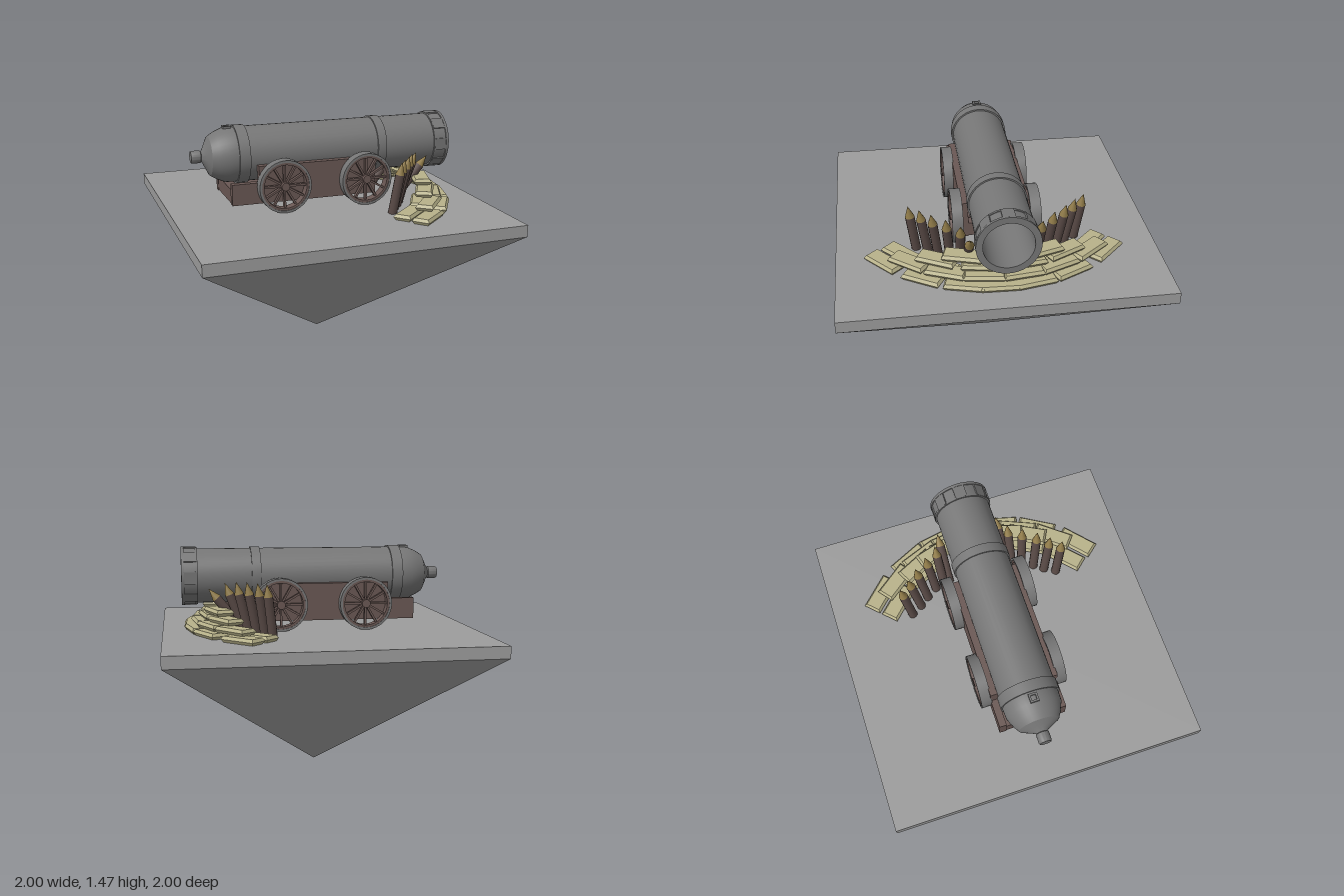
import * as THREE from 'three';
import { toCreasedNormals } from 'three/addons/utils/BufferGeometryUtils.js';

const mat = (color, flatShading = false) => new THREE.MeshStandardMaterial({ color, flatShading });
const stone = mat(0x9c9c9c, true);
const iron = mat(0x767676);
const wood = mat(0x6a5854);
const stakeWood = mat(0x594a46);
const tipGold = mat(0x8f7a48);
const sack = mat(0xb8b28a, true);

const GROUND = 0.935;
const AXIS = 1.275;

function add(parent, name, geometry, material, x = 0, y = 0, z = 0) {
  const mesh = new THREE.Mesh(geometry, material);
  mesh.name = name;
  mesh.position.set(x, y, z);
  parent.add(mesh);
  return mesh;
}

// Flat slab standing on an inverted pyramid
function makeBase() {
  const g = new THREE.Group();
  g.name = 'base';
  add(g, 'slab', new THREE.BoxGeometry(2, 0.075, 2), stone, 0, GROUND - 0.0375, 0);
  const pyramid = new THREE.ConeGeometry(Math.SQRT2, 0.86, 4, 1, true);
  pyramid.rotateY(Math.PI / 4).rotateX(Math.PI);
  add(g, 'pyramid', pyramid, stone, 0, 0.43, 0);
  return g;
}

// Lathed barrel with knob, rings and hollow bore, pointing along +x
function makeBarrel() {
  const g = new THREE.Group();
  g.name = 'barrel';
  const profile = [
    [0, -0.84], [0.036, -0.84], [0.04, -0.83], [0.04, -0.78], [0.032, -0.775], [0.045, -0.765],
    [0.085, -0.745], [0.125, -0.725], [0.15, -0.685], [0.173, -0.63], [0.176, -0.565],
    [0.186, -0.565], [0.186, -0.495], [0.176, -0.495], [0.176, 0.365], [0.185, 0.365],
    [0.185, 0.425], [0.176, 0.425], [0.176, 0.77], [0.186, 0.77], [0.186, 0.785], [0.182, 0.785],
    [0.182, 0.855], [0.19, 0.855], [0.19, 0.873], [0.15, 0.873], [0.146, 0.2], [0, 0.2]
  ].map(([r, x]) => new THREE.Vector2(r, x));
  const tube = toCreasedNormals(new THREE.LatheGeometry(profile, 40), 0.5);
  tube.rotateZ(-Math.PI / 2);
  add(g, 'barrelTube', tube, iron, 0, AXIS, 0);

  // Raised lugs around the muzzle
  for (let i = 0; i < 8; i++) {
    const a = (i * Math.PI) / 4;
    const lug = add(g, 'muzzleLug', new THREE.BoxGeometry(0.085, 0.016, 0.075), iron,
      0.818, AXIS + Math.cos(a) * 0.178, Math.sin(a) * 0.178);
    lug.rotation.x = a;
  }

  // Square touch hole
  for (const s of [-1, 1]) {
    add(g, 'touchHoleSide', new THREE.BoxGeometry(0.054, 0.03, 0.012), iron, -0.605, 1.446, s * 0.021);
    add(g, 'touchHoleEnd', new THREE.BoxGeometry(0.012, 0.03, 0.054), iron, -0.605 + s * 0.021, 1.446, 0);
  }
  return g;
}

// Spoked wheel, axle along z
function makeWheel(x, side) {
  const g = new THREE.Group();
  g.name = 'wheel';
  const ring = (outer, inner, width) => {
    const pts = [[inner, -width], [outer, -width], [outer, width], [inner, width], [inner, -width]]
      .map(([r, y]) => new THREE.Vector2(r, y));
    return toCreasedNormals(new THREE.LatheGeometry(pts, 32), 0.5).rotateX(Math.PI / 2);
  };
  add(g, 'tyre', ring(0.17, 0.155, 0.034), iron);
  add(g, 'rim', ring(0.157, 0.14, 0.03), wood);
  add(g, 'hub', new THREE.CylinderGeometry(0.027, 0.027, 0.07, 16).rotateX(Math.PI / 2), wood);
  for (let i = 0; i < 12; i++) {
    const a = (i * Math.PI) / 6;
    const spoke = add(g, 'spoke', new THREE.BoxGeometry(0.013, 0.13, 0.025), wood,
      -Math.sin(a) * 0.085, Math.cos(a) * 0.085, 0);
    spoke.rotation.z = a;
  }
  g.position.set(x, GROUND + 0.169, side * 0.242);
  return g;
}

// Stepped cheeks, floor, axles and four wheels
function makeCarriage() {
  const g = new THREE.Group();
  g.name = 'carriage';
  const outline = new THREE.Shape([
    [-0.63, 0.995], [0.33, 0.995], [0.33, 1.235], [-0.455, 1.235], [-0.455, 1.13], [-0.63, 1.13]
  ].map(([x, y]) => new THREE.Vector2(x, y)));
  for (const s of [-1, 1]) {
    const cheek = new THREE.ExtrudeGeometry(outline, { depth: 0.045, bevelEnabled: false });
    add(g, 'cheek', cheek, wood, 0, 0, s > 0 ? 0.17 : -0.215);
    for (const x of [-0.3, 0.25]) g.add(makeWheel(x, s));
  }
  add(g, 'floor', new THREE.BoxGeometry(0.955, 0.09, 0.345), wood, -0.15, 1.045, 0);
  for (const x of [-0.3, 0.25]) {
    add(g, 'axle', new THREE.CylinderGeometry(0.02, 0.02, 0.54, 12).rotateX(Math.PI / 2), wood, x, 1.104, 0);
  }
  return g;
}

// Pointed stake leaning from its foot to its tip
function makeStake(foot, tip) {
  const g = new THREE.Group();
  g.name = 'stake';
  const dir = tip.clone().sub(foot);
  const len = dir.length();
  const body = len - 0.08;
  add(g, 'stakeBody', new THREE.CylinderGeometry(0.029, 0.029, body, 12), stakeWood, 0, body / 2, 0);
  add(g, 'stakeTip', new THREE.ConeGeometry(0.029, 0.08, 12), tipGold, 0, body + 0.04, 0);
  g.position.copy(foot);
  g.quaternion.setFromUnitVectors(new THREE.Vector3(0, 1, 0), dir.normalize());
  return g;
}

function makeStakes() {
  const g = new THREE.Group();
  g.name = 'stakes';
  // foot x, foot z, tip x, tip y, tip z
  const rows = [
    [0.33, 0.5, 0.37, 1.27, 0.54], [0.37, 0.43, 0.42, 1.27, 0.477], [0.415, 0.37, 0.48, 1.27, 0.41],
    [0.46, 0.3, 0.54, 1.265, 0.328], [0.48, 0.24, 0.605, 1.25, 0.245], [0.48, 0.2, 0.705, 1.21, 0.2]
  ];
  for (const s of [-1, 1]) {
    for (const [fx, fz, tx, ty, tz] of rows) {
      g.add(makeStake(new THREE.Vector3(fx, GROUND, s * fz), new THREE.Vector3(tx, ty, s * tz)));
    }
  }
  return g;
}

// Sandbag: a box pinched towards its top and bottom faces
function sandbagGeometry() {
  const geo = new THREE.BoxGeometry(0.115, 0.038, 0.25, 1, 2, 1);
  const p = geo.attributes.position;
  for (let i = 0; i < p.count; i++) {
    if (Math.abs(p.getY(i)) > 0.01) {
      p.setX(i, p.getX(i) * 0.78);
      p.setZ(i, p.getZ(i) * 0.9);
    }
  }
  geo.computeVertexNormals();
  return geo;
}

// Curved wall of sandbags stacked in layers around the muzzle
function makeSandbags() {
  const g = new THREE.Group();
  g.name = 'sandbags';
  const geo = sandbagGeometry();
  const layers = [
    { level: 0, radius: 0.93, angles: [-45, -26, -11, 2, 15, 31, 49] },
    { level: 0, radius: 0.8, angles: [-45, -27, 28, 48] },
    { level: 1, radius: 0.88, angles: [-38, -22, -7, 8, 23, 39] },
    { level: 2, radius: 0.83, angles: [-27, -9, 9, 28] },
    { level: 3, radius: 0.81, angles: [-17, 17] }
  ];
  for (const { level, radius, angles } of layers) {
    for (const deg of angles) {
      const a = THREE.MathUtils.degToRad(deg);
      const bag = add(g, 'sandbag', geo, sack,
        -0.13 + Math.cos(a) * radius, GROUND + 0.019 + level * 0.039, Math.sin(a) * radius);
      bag.rotation.y = -a;
    }
  }
  return g;
}

export function createModel() {
  const model = new THREE.Group();
  model.name = 'cannonEmplacement';
  model.add(makeBase(), makeBarrel(), makeCarriage(), makeStakes(), makeSandbags());
  return model;
}
